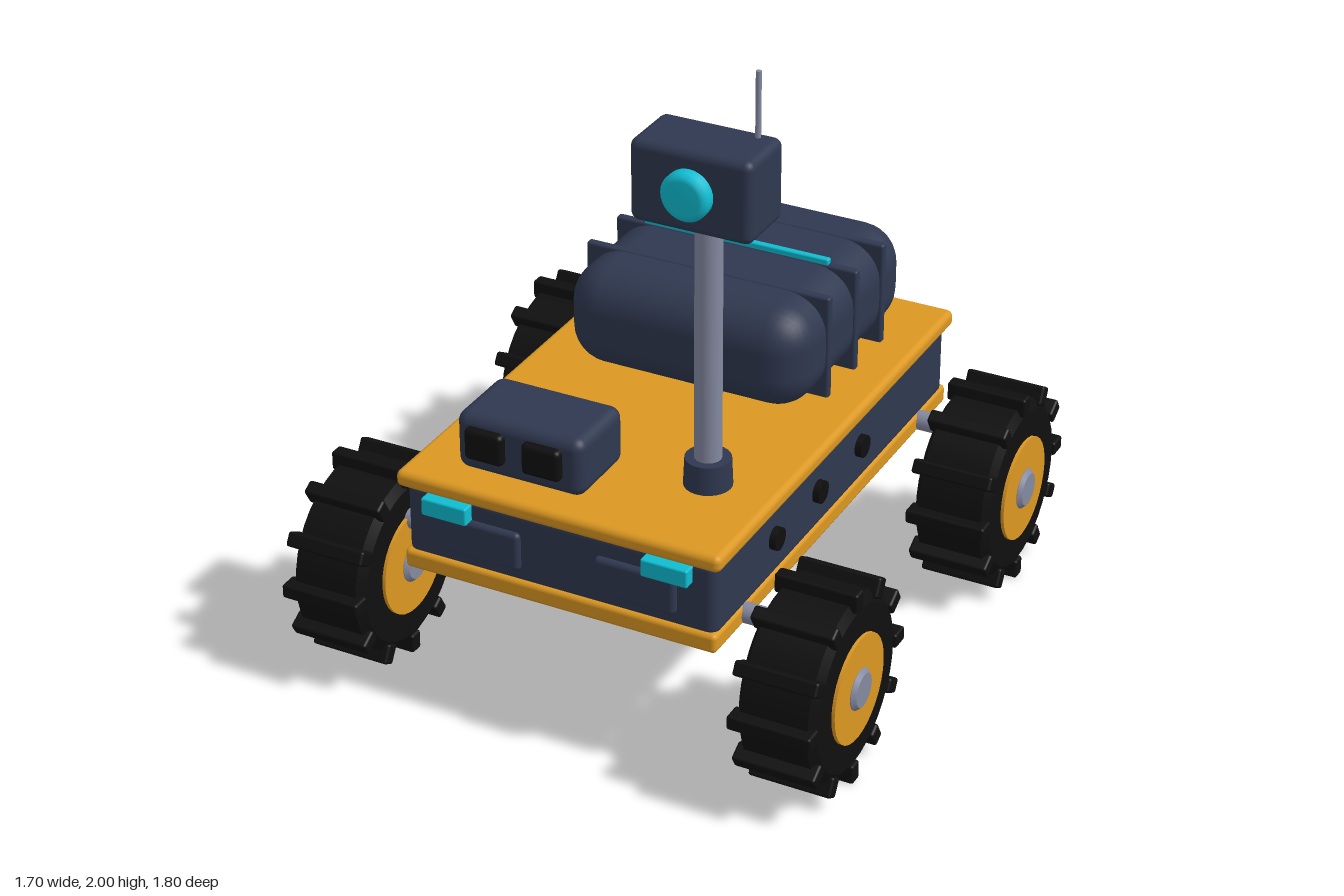
import * as THREE from 'three';
import { RoundedBoxGeometry } from 'three/addons/geometries/RoundedBoxGeometry.js';

const material = (name, color) => {
  const m = new THREE.MeshStandardMaterial({ color });
  m.name = name;
  return m;
};

export function createModel() {
  const navy = material('navy', 0x2f3850);
  const orange = material('orange', 0xdb9722);
  const grey = material('grey', 0x8489a0);
  const cyan = material('cyan', 0x10bdd2);
  const black = material('black', 0x0f0f0f);

  const rover = new THREE.Group();
  rover.name = 'rover';

  const add = (parent, name, geometry, mat, x = 0, y = 0, z = 0) => {
    const mesh = new THREE.Mesh(geometry, mat);
    mesh.name = name;
    mesh.position.set(x, y, z);
    parent.add(mesh);
    return mesh;
  };
  // Rounded box given by its limits on each axis
  const box = (name, mat, [x0, x1], [y0, y1], [z0, z1], r = 0.01, seg = 3) =>
    add(rover, name, new RoundedBoxGeometry(x1 - x0, y1 - y0, z1 - z0, seg, r), mat,
      (x0 + x1) / 2, (y0 + y1) / 2, (z0 + z1) / 2);
  // Cylinder lying along x
  const axial = (r, length, sides = 24) =>
    new THREE.CylinderGeometry(r, r, length, sides).rotateZ(-Math.PI / 2);
  // Solid of revolution around x; each straight run keeps its own flat normals
  const turned = (points, sides) =>
    new THREE.LatheGeometry(points.map(([r, h]) => new THREE.Vector2(r, h)), sides).rotateZ(-Math.PI / 2);

  // Chassis
  box('deck', orange, [-0.505, 0.505], [0.695, 0.747], [-0.79, 0.79], 0.02);
  box('body', navy, [-0.485, 0.485], [0.47, 0.71], [-0.768, 0.768], 0.03);
  box('lowerPlate', orange, [-0.49, 0.49], [0.43, 0.49], [-0.78, 0.78], 0.015);

  for (const s of [-1, 1]) {
    const span = (a, b) => (s > 0 ? [a, b] : [-b, -a]);
    box('frontPanel', navy, span(0.117, 0.367), [0.52, 0.64], [0.74, 0.785], 0.015);
    box('headlight', cyan, span(0.272, 0.415), [0.635, 0.69], [0.75, 0.803], 0.006);
    box('tailLight', orange, span(0.245, 0.405), [0.573, 0.627], [-0.803, -0.75], 0.01);
    box('underglow', cyan, span(0.435, 0.465), [0.415, 0.435], [-0.7, 0.7], 0.004, 1);
    for (const z of [0.41, 0.13, -0.155]) {
      add(rover, 'sidePort', axial(0.034, 0.03), black, s * 0.49, 0.6, z);
    }
  }

  // Cargo pod with square ribs and a light strip
  box('cargoPod', navy, [-0.385, 0.385], [0.745, 1.065], [-0.71, 0.058], 0.12, 4);
  for (const z of [-0.14, -0.325, -0.51]) {
    box('podRib', navy, [-0.393, 0.393], [0.742, 1.069], [z - 0.014, z + 0.014], 0.008, 2);
  }
  box('podLight', cyan, [-0.3, 0.3], [1.055, 1.085], [-0.336, -0.314], 0.005, 2);

  // Front sensor box
  box('sensorBox', navy, [-0.365, 0.035], [0.742, 0.922], [0.44, 0.69], 0.035, 4);
  for (const x of [-0.265, -0.085]) {
    box('sensorEye', black, [x - 0.06, x + 0.06], [0.793, 0.89], [0.66, 0.715], 0.015);
  }

  // Mast, head, lens and antenna
  add(rover, 'mastCollar', new THREE.CylinderGeometry(0.066, 0.07, 0.09, 24), navy, 0.3, 0.787, 0.45);
  add(rover, 'mast', new THREE.CylinderGeometry(0.039, 0.039, 0.88, 24), grey, 0.3, 1.18, 0.45);
  box('mastHead', navy, [0.12, 0.48], [1.57, 1.81], [0.368, 0.567], 0.025);
  const lens = turned([[0.071, -0.03], [0.071, 0.03], [0.062, 0.042], [0.05, 0.047], [0, 0.047]], 32);
  add(rover, 'lens', lens.rotateY(-Math.PI / 2), cyan, 0.3, 1.69, 0.563);
  add(rover, 'antenna', new THREE.CylinderGeometry(0.008, 0.008, 0.22, 10), grey, 0.42, 1.89, 0.405);

  // Wheels
  const tyreGeometry = turned([
    [0.14, -0.118], [0.245, -0.118], [0.245, -0.118], [0.275, -0.1], [0.275, -0.1],
    [0.275, 0.1], [0.275, 0.1], [0.245, 0.118], [0.245, 0.118], [0.14, 0.118],
  ], 36);
  const lugGeometry = new RoundedBoxGeometry(0.25, 0.06, 0.044, 2, 0.008);
  const rimGeometry = axial(0.16, 0.256, 32);
  const capGeometry = turned([
    [0, -0.14], [0.05, -0.14], [0.05, -0.14], [0.062, -0.13], [0.062, -0.13],
    [0.062, 0.13], [0.062, 0.13], [0.05, 0.142], [0.05, 0.142], [0, 0.142],
  ], 24);
  const buildWheel = () => {
    const wheel = new THREE.Group();
    wheel.name = 'wheel';
    add(wheel, 'tyre', tyreGeometry, black);
    add(wheel, 'rim', rimGeometry, orange);
    add(wheel, 'hubCap', capGeometry, grey);
    for (let i = 0; i < 12; i++) {
      const a = (i / 12) * Math.PI * 2;
      const lug = add(wheel, 'lug', lugGeometry, black, 0, Math.cos(a) * 0.28, Math.sin(a) * 0.28);
      lug.rotation.x = a;
    }
    return wheel;
  };
  for (const s of [-1, 1]) {
    for (const z of [-0.59, 0.59]) {
      const wheel = buildWheel();
      wheel.position.set(s * 0.707, 0.315, z);
      rover.add(wheel);
      add(rover, 'axle', axial(0.03, 0.2, 20), grey, s * 0.53, 0.46, z);
    }
  }

  return rover;
}
